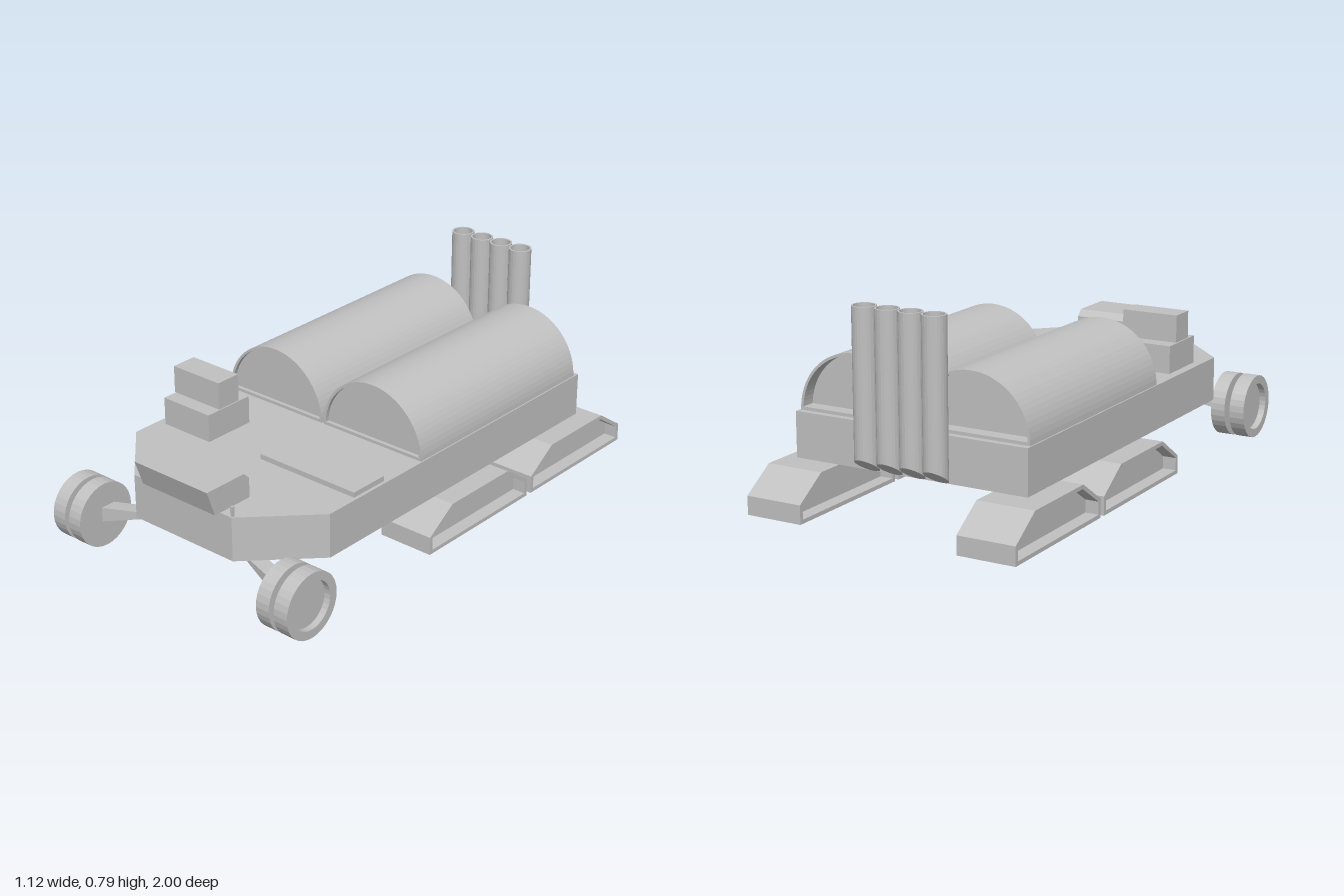
import * as THREE from 'three';

export function createModel() {
  const model = new THREE.Group();
  model.name = 'trackedHauler';
  const grey = new THREE.MeshStandardMaterial({ color: 0xc0c0c0 });
  grey.name = 'plain grey';

  const add = (name, geometry, parent = model) => {
    const g = geometry.index ? geometry.toNonIndexed() : geometry;
    g.computeVertexNormals(); // faceted look
    const mesh = new THREE.Mesh(g, grey);
    mesh.name = name;
    parent.add(mesh);
    return mesh;
  };
  // box from its limits on each axis
  const box = (x0, x1, y0, y1, z0, z1) =>
    new THREE.BoxGeometry(x1 - x0, y1 - y0, z1 - z0)
      .translate((x0 + x1) / 2, (y0 + y1) / 2, (z0 + z1) / 2);
  const shapeOf = (pts) => new THREE.Shape(pts.map(([x, y]) => new THREE.Vector2(x, y)));
  const extrude = (shape, depth) =>
    new THREE.ExtrudeGeometry(shape, { depth, bevelEnabled: false, curveSegments: 18 });
  // side profile given as (z, y), extruded from x0 to x1
  const sideExtrude = (shape, x0, x1) =>
    extrude(shape, x1 - x0).rotateY(-Math.PI / 2).translate(x1, 0, 0);

  // hull with a tapered nose, drawn as (x, -z)
  const hull = shapeOf([[-0.47, 0.8], [-0.47, -0.655], [-0.235, -0.89],
    [0.235, -0.89], [0.47, -0.655], [0.47, 0.8]]);
  add('hull', extrude(hull, 0.17).rotateX(-Math.PI / 2).translate(0, 0.19, 0));

  // half-round tanks with recessed ends
  const halfDisc = (r, y) => {
    const s = new THREE.Shape();
    s.moveTo(r, y);
    s.absarc(0, 0, r, Math.asin(y / r), Math.PI - Math.asin(y / r), false);
    s.closePath();
    return s;
  };
  for (const side of [-1, 1]) {
    const tank = new THREE.Group();
    tank.name = side > 0 ? 'leftTank' : 'rightTank';
    tank.position.set(side * 0.235, 0.36, 0);
    model.add(tank);
    const shell = halfDisc(0.23, 0);
    shell.holes.push(halfDisc(0.22, 0.012));
    add('tankShell', extrude(shell, 0.935).translate(0, 0, -0.775), tank);
    add('tankEnds', extrude(halfDisc(0.22, 0.012), 0.865).translate(0, 0, -0.72), tank);
  }

  // exhaust stacks with mitred feet and hollow tops
  for (let i = 0; i < 4; i++) {
    const r = 0.044;
    const profile = [[0, 0], [r, 0], [r, 0.535], [0.037, 0.535], [0.037, 0.5], [0, 0.5]];
    const stack = new THREE.LatheGeometry(profile.map(([x, y]) => new THREE.Vector2(x, y)), 24);
    const foot = new THREE.CylinderGeometry(r, r, 0.06, 24);
    const p = foot.attributes.position;
    for (let k = 0; k < p.count; k++) {
      if (p.getY(k) < 0) p.setY(k, 0.03 - 0.06 * (p.getZ(k) + r) / (2 * r));
    }
    const x = -0.139 + i * 0.093;
    add('exhaustStack', stack.translate(x, 0.25, -0.845));
    add('exhaustFoot', foot.translate(x, 0.22, -0.845));
  }

  // deck fittings
  add('noseConsole', sideExtrude(shapeOf([[0.915, 0.36], [0.95, 0.46], [0.77, 0.46],
    [0.745, 0.435], [0.745, 0.36]]), -0.165, 0.182));
  add('nosePost', box(0.225, 0.235, 0.36, 0.397, 0.875, 0.885));
  add('deckHatch', box(0.02, 0.457, 0.36, 0.38, 0.355, 0.515));
  add('lowerCabinBox', box(-0.435, -0.21, 0.36, 0.467, 0.33, 0.54));
  add('upperCabinBox', box(-0.435, -0.21, 0.47, 0.575, 0.383, 0.485));

  // track pods: hollow frames with a central web
  const podOutline = (t) => [[-0.2925 + t, 0.022 + t], [0.2925 - t, 0.022 + t],
    [0.2925 - t, 0.092 - t * 0.5], [0.165 - t * 0.3, 0.177 - t],
    [-0.165 + t * 0.3, 0.177 - t], [-0.2925 + t, 0.092 - t * 0.5]];
  for (const side of [-1, 1]) {
    for (const z of [-0.0975, -0.7075]) {
      const pod = new THREE.Group();
      pod.name = (side > 0 ? 'left' : 'right') + (z > -0.4 ? 'Front' : 'Rear') + 'Track';
      pod.position.set(side * 0.4275, 0, z);
      model.add(pod);
      const frame = shapeOf(podOutline(0));
      frame.holes.push(shapeOf(podOutline(0.015)));
      add('trackFrame', sideExtrude(frame, -0.1125, 0.1125), pod);
      add('trackWeb', sideExtrude(shapeOf(podOutline(0.015)), -0.06, 0.06), pod);
    }
  }

  // twin front wheels and their sloping arms
  const wheelProfile = [[0, 0.42], [0.125, 0.42], [0.125, 0.478], [0.07, 0.478], [0.07, 0.5],
    [0.125, 0.5], [0.125, 0.56], [0.092, 0.56], [0.092, 0.535], [0, 0.535]]
    .map(([x, y]) => new THREE.Vector2(x, y));
  for (const side of [-1, 1]) {
    const wheelZ = side > 0 ? 0.85 : 0.87;
    const label = side > 0 ? 'left' : 'right';
    add(label + 'TwinWheel', new THREE.LatheGeometry(wheelProfile, 32)
      .rotateZ(-side * Math.PI / 2).translate(0, 0.125, wheelZ));
    const arm = new THREE.BoxGeometry(1, 1, 1);
    const p = arm.attributes.position;
    for (let k = 0; k < p.count; k++) {
      const outer = p.getX(k) * side > 0;
      const top = p.getY(k) > 0;
      const front = p.getZ(k) > 0 ? 0.03 : -0.03;
      if (outer) p.setXYZ(k, side * 0.43, top ? 0.158 : 0.1, wheelZ - 0.01 + front);
      else p.setXYZ(k, side * (top ? 0.115 : 0.16), top ? 0.195 : 0.18, 0.77 + front);
    }
    add(label + 'WheelArm', arm);
  }
  return model;
}
